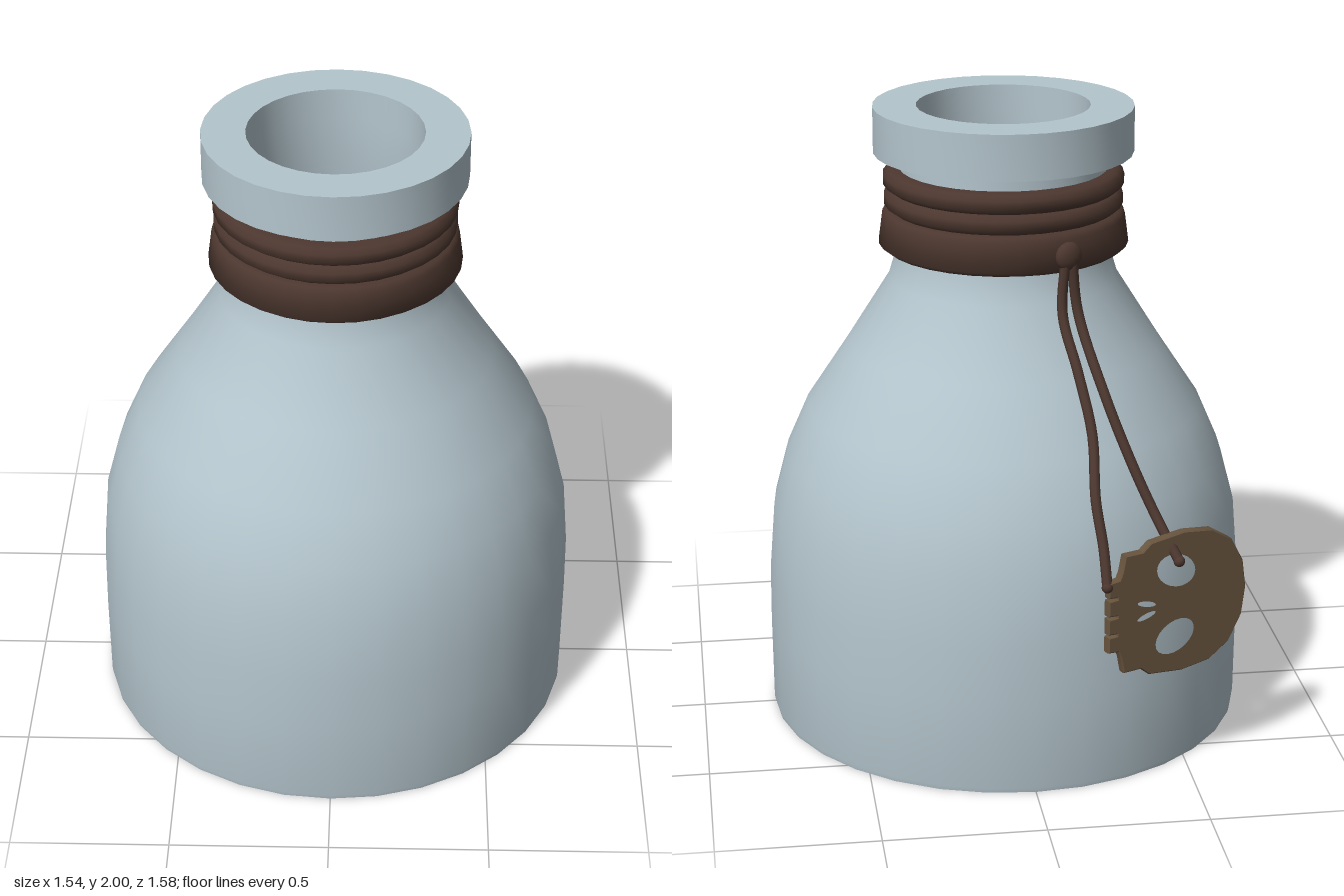
import * as THREE from 'three';
import { toCreasedNormals } from 'three/addons/utils/BufferGeometryUtils.js';

const mat = (name, color, side = THREE.FrontSide) => {
  const m = new THREE.MeshStandardMaterial({ color, side });
  m.name = name;
  return m;
};
const v2 = (pts) => pts.map(([x, y]) => new THREE.Vector2(x, y));

export function createModel() {
  const group = new THREE.Group();
  const glass = mat('paleGlass', 0xb4c5cd, THREE.DoubleSide);
  const leather = mat('brownCord', 0x4c372f);
  const wood = mat('carvedWood', 0x69553f);
  const green = mat('greenLiquid', 0x8ccc10);
  const add = (name, geometry, material, parent = group) => {
    const mesh = new THREE.Mesh(geometry, material);
    mesh.name = name;
    parent.add(mesh);
    return mesh;
  };
  const lathe = (pts, crease = 0.7) =>
    toCreasedNormals(new THREE.LatheGeometry(v2(pts), 32), crease);

  // Everything turned on the bottle axis
  const body = new THREE.Group();
  body.name = 'bottle';
  body.position.z = 0.01;
  group.add(body);

  // Outer wall, lip and hollow inside in one profile
  add('bottleWall', lathe([
    [0, 0], [0.765, 0], [0.768, 0.015], [0.77, 0.3], [0.768, 0.48], [0.75, 0.7], [0.705, 0.87],
    [0.635, 1.03], [0.5, 1.235], [0.365, 1.45], [0.338, 1.54], [0.33, 1.65], [0.33, 1.855],
    [0.41, 1.855], [0.41, 2], [0.273, 2], [0.272, 1.9], [0.27, 1.5], [0.3, 1.42],
    [0.43, 1.22], [0.46, 1.17],
  ]), glass, body);

  // Liquid surface
  const liquid = add('liquid', new THREE.CircleGeometry(0.45, 32), green, body);
  liquid.rotation.x = -Math.PI / 2;
  liquid.position.y = 1.2;

  // Cord wound around the neck: [bottom, top, radius]
  [[1.55, 1.675, 0.39], [1.675, 1.74, 0.377], [1.74, 1.805, 0.38]].forEach(([lo, hi, r], i) => {
    const b = i ? 0 : 0.006;
    add('neckWrap', lathe([
      [0.31, lo], [r - 0.02 + b, lo], [r + b, lo + 0.015], [r - b, hi - 0.02],
      [r - 0.015, hi - 0.005], [r - 0.03, hi], [0.31, hi],
    ], 1.1), leather, body);
  });

  // Knot on the wrap
  const knot = add('knot', new THREE.SphereGeometry(0.045, 16, 10), leather);
  knot.scale.z = 0.55;
  knot.position.set(-0.15, 1.61, -0.37);
  knot.rotation.y = 0.39;

  // Two hanging cords that follow the shoulder of the bottle
  const cords = [
    [[-0.14, 1.61, -0.375], [-0.13, 1.43, -0.385], [-0.165, 1.27, -0.475], [-0.195, 1.1, -0.57],
      [-0.19, 0.93, -0.675], [-0.205, 0.8, -0.735], [-0.21, 0.69, -0.785]],
    [[-0.16, 1.61, -0.37], [-0.18, 1.43, -0.37], [-0.245, 1.2, -0.505], [-0.315, 1.01, -0.585],
      [-0.38, 0.86, -0.645], [-0.44, 0.74, -0.73]],
  ];
  for (const pts of cords) {
    const curve = new THREE.CatmullRomCurve3(pts.map((p) => new THREE.Vector3(...p)));
    add('hangingCord', new THREE.TubeGeometry(curve, 40, 0.016, 8), leather);
    const end = add('cordEnd', new THREE.SphereGeometry(0.018, 10, 8), leather);
    end.position.set(...pts[pts.length - 1]);
  }

  // Skull tag lying on its side: toothed jaw at -x, cranium at +x
  const half = [[-0.21, 0.115], [-0.2, 0.14], [-0.19, 0.19], [-0.13, 0.19], [-0.1, 0.215],
    [0.02, 0.228], [0.12, 0.215], [0.19, 0.17], [0.235, 0.09], [0.248, 0]];
  const mirrored = half.slice(0, -1).reverse().map(([x, y]) => [x, -y]);
  const teeth = [];
  for (let i = 0; i < 4; i++) {
    const y = -0.112 + i * 0.06;
    teeth.push([-0.246, y], [-0.246, y + 0.044]);
    if (i < 3) teeth.push([-0.215, y + 0.046], [-0.215, y + 0.058]);
  }
  const skull = new THREE.Shape(v2([...half, ...mirrored, ...teeth]));
  const hole = (x, y, rx, ry, turn) => {
    const path = new THREE.Path();
    path.absellipse(x, y, rx, ry, 0, Math.PI * 2, true, turn);
    skull.holes.push(path);
  };
  for (const s of [1, -1]) {
    hole(-0.01, s * 0.11, 0.073, 0.052, -s * 0.4);
    hole(-0.115, s * 0.02, 0.034, 0.009, -s * 0.25);
  }
  const tagGeo = new THREE.ExtrudeGeometry(skull, {
    depth: 0.022, bevelThickness: 0.004, bevelSize: 0.004, bevelSegments: 1, curveSegments: 10,
  });
  tagGeo.translate(0, 0, -0.011);
  const tag = add('skullTag', toCreasedNormals(tagGeo, 0.5), wood);
  tag.position.set(-0.44, 0.59, -0.687);
  tag.rotation.y = Math.PI + 0.39;

  return group;
}
